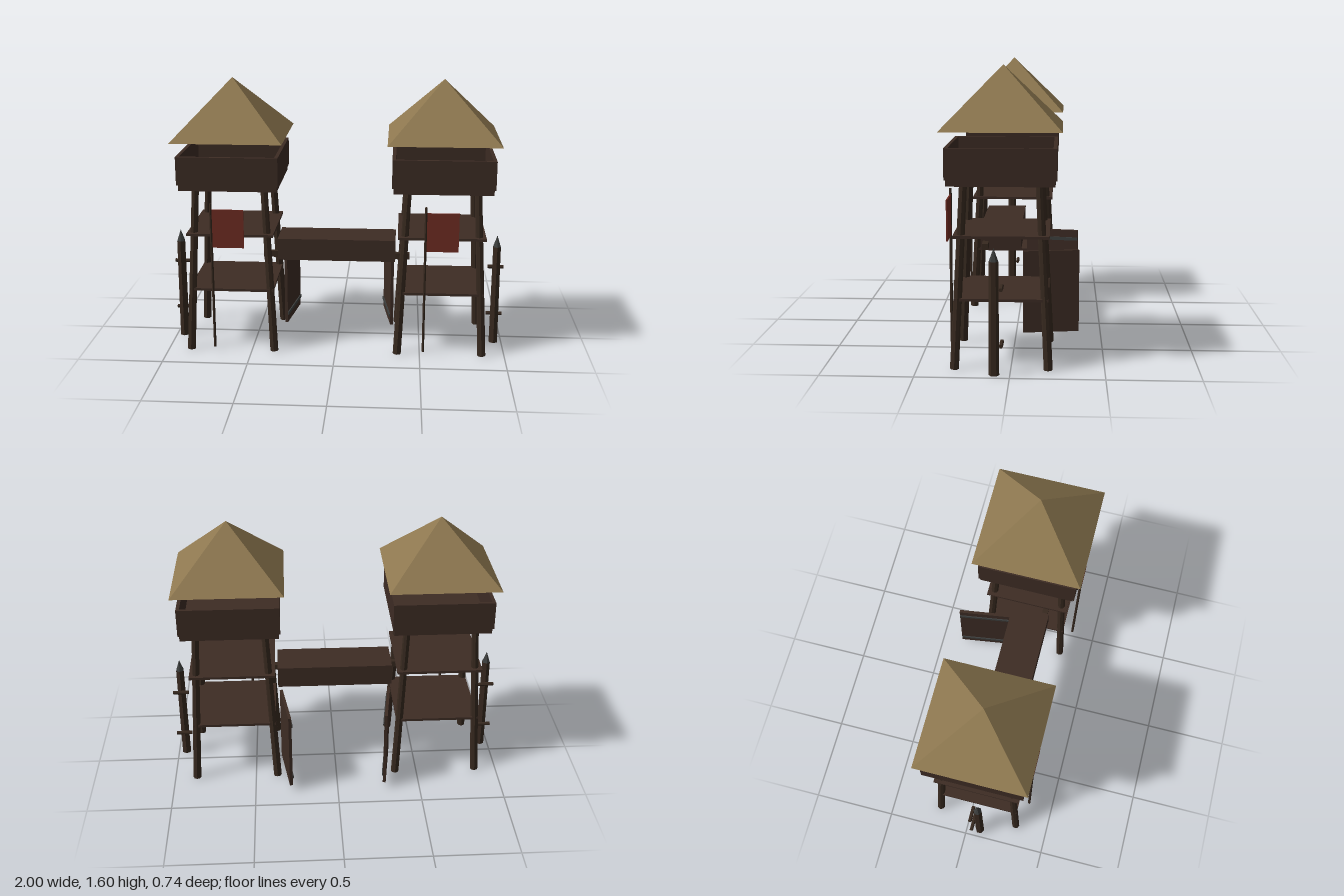
import * as THREE from 'three';

const mat = (name, color) => {
  const m = new THREE.MeshStandardMaterial({ color, flatShading: true });
  m.name = name;
  return m;
};

export function createModel() {
  const plank = mat('plank brown', 0x3d2c24);
  const timber = mat('dark timber', 0x37291f);
  const thatch = mat('straw roof', 0x8e7850);
  const cloth = mat('red cloth', 0x702c23);
  const iron = mat('dark iron', 0x3c3e3d);

  const add = (parent, name, geometry, material, x, y, z) => {
    const m = new THREE.Mesh(geometry, material);
    m.name = name;
    m.position.set(x, y, z);
    parent.add(m);
    return m;
  };
  const box = (parent, name, material, w, h, d, x, y, z) =>
    add(parent, name, new THREE.BoxGeometry(w, h, d), material, x, y, z);
  const group = (parent, name, x, y, z) => {
    const g = new THREE.Group();
    g.name = name;
    g.position.set(x, y, z);
    parent.add(g);
    return g;
  };
  // Round bar between two points
  const bar = (parent, name, a, b, r0, r1, sides) => {
    const dir = b.clone().sub(a);
    const c = a.clone().add(b).multiplyScalar(0.5);
    const m = add(parent, name, new THREE.CylinderGeometry(r1, r0, dir.length(), sides), timber, c.x, c.y, c.z);
    m.quaternion.setFromUnitVectors(new THREE.Vector3(0, 1, 0), dir.normalize());
    return m;
  };
  const v = (x, y, z) => new THREE.Vector3(x, y, z);

  const model = new THREE.Group();
  model.name = 'gateTowers';

  for (const s of [-1, 1]) {
    const tower = group(model, s < 0 ? 'rightTower' : 'leftTower', s * 0.616, 0, 0.05);

    // Four legs leaning inwards
    for (const x of [-1, 1]) for (const z of [-1, 1])
      bar(tower, 'leg', v(x * 0.25, 0.001, z * 0.25), v(x * 0.2, 0.995, z * 0.2), 0.024, 0.021, 8);

    // Intermediate floors and top platform
    box(tower, 'lowerFloor', plank, 0.5, 0.015, 0.5, 0, 0.378, 0);
    box(tower, 'middleFloor', plank, 0.508, 0.015, 0.508, 0, 0.716, 0);
    box(tower, 'platform', plank, 0.567, 0.033, 0.567, 0, 1.005, 0);

    // Parapet walls around the platform
    for (const e of [-1, 1]) {
      box(tower, 'parapetWall', plank, 0.584, 0.166, 0.02, 0, 1.105, e * 0.282);
      box(tower, 'parapetSide', plank, 0.02, 0.166, 0.544, e * 0.282, 1.105, 0);
    }

    // Pyramid roof
    const roof = add(tower, 'roof', new THREE.ConeGeometry(0.32 * Math.SQRT2, 0.332, 4, 1), thatch, 0, 1.437, 0);
    roof.rotation.y = Math.PI / 4;

    // Banner hung on a slim pole in front, on the same side of both towers
    bar(tower, 'bannerPole', v(-0.097, 0.04, 0.301), v(-0.097, 0.92, 0.301), 0.008, 0.008, 6);
    box(tower, 'banner', cloth, 0.184, 0.228, 0.008, 0, 0.772, 0.301);

    // Sharpened outer stake with two cross rails
    const stake = group(model, 'palisadeStake', s * 0.952, 0, 0.083);
    add(stake, 'stakePost', new THREE.CylinderGeometry(0.025, 0.028, 0.61, 6), timber, 0, 0.305, 0);
    add(stake, 'stakeTip', new THREE.ConeGeometry(0.025, 0.07, 6), iron, 0, 0.645, 0);
    for (const y of [0.17, 0.47])
      bar(stake, 'stakeRail', v(-0.048, y, -0.04), v(0.048, y, -0.04), 0.011, 0.011, 6);

    // Open gate door, with iron bands on the inner face
    const door = group(model, 'gateDoor', s * 0.307, 0.283, -0.207);
    door.rotation.y = s * 0.147;
    box(door, 'doorPanel', plank, 0.018, 0.485, 0.326, 0, 0, 0);
    for (const y of [-0.183, 0.187])
      box(door, 'doorBand', iron, 0.008, 0.02, 0.322, -s * 0.012, y, 0);
  }

  // Walkway between the towers and its support beam
  box(model, 'walkway', plank, 0.696, 0.13, 0.235, 0, 0.605, 0.083);
  box(model, 'lintelBeam', timber, 0.864, 0.035, 0.035, 0, 0.57, 0.168);

  return model;
}
